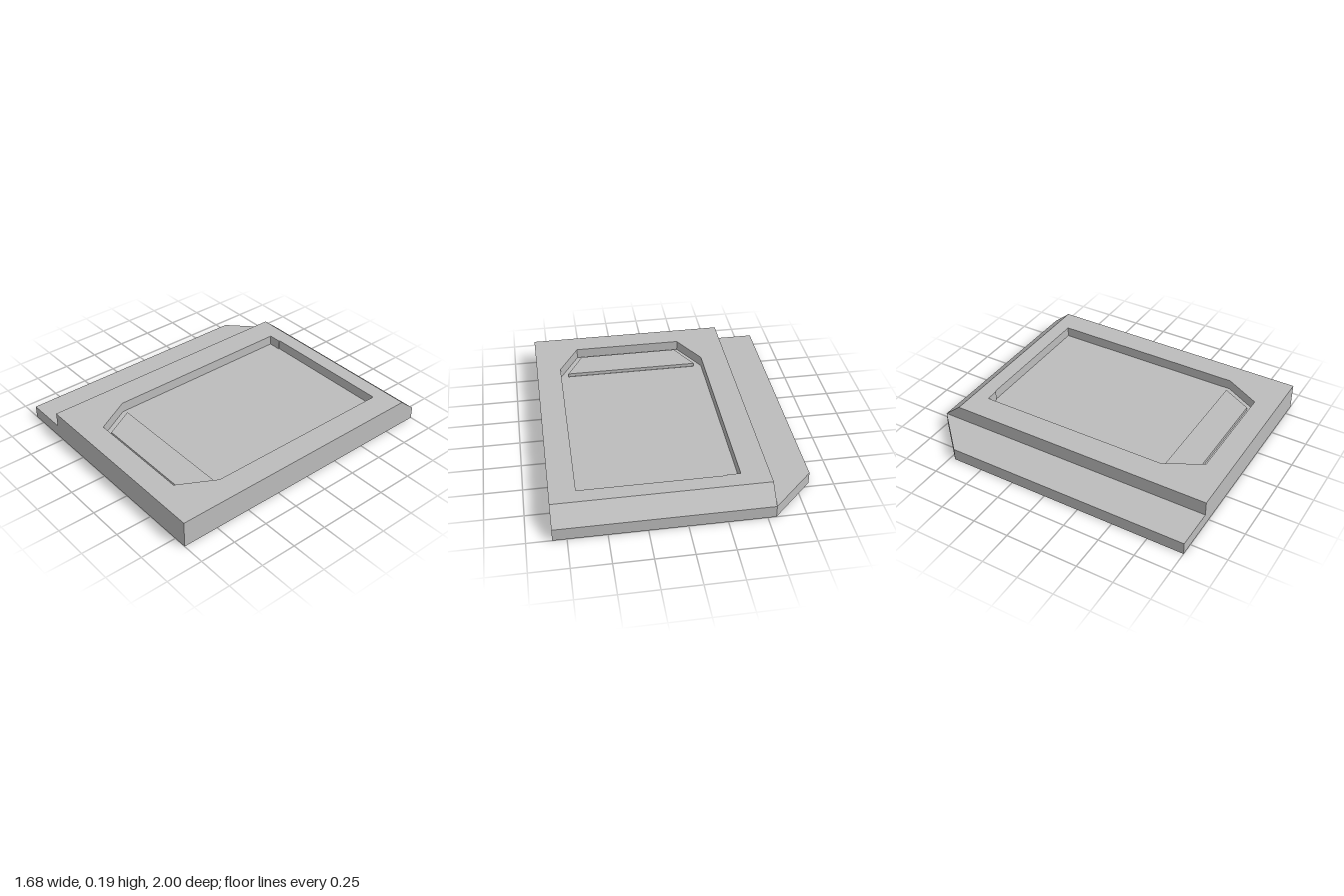
import * as THREE from 'three';

const TOP = 0.185, LIP = 0.085, FLOOR = 0.115, TAB = 0.14;

// Outlines as [x, z], counter-clockwise seen from above
const pocket = [[-0.37, 0.59], [-0.23, 0.84], [0.53, 0.84], [0.67, 0.59],
  [0.67, -0.775], [-0.28, -0.775], [-0.28, -0.768], [-0.37, -0.768]];
const tab = [[-0.315, 0.59], [-0.2, 0.8], [0.5, 0.8], [0.615, 0.59]];
const deck = [[-0.555, 1], [0.84, 1], [0.84, -0.88], [-0.555, -0.88]];
const lip = [[-0.84, 1], [-0.555, 1], [-0.555, -1], [-0.84, -0.715]];

const toPoints = (outline) => outline.map(([x, z]) => new THREE.Vector2(x, -z));

// Horizontal sheet at height y, optionally with a hole
function sheet(outline, y, hole) {
  const shape = new THREE.Shape(toPoints(outline));
  if (hole) shape.holes.push(new THREE.Path(toPoints(hole)));
  return new THREE.ShapeGeometry(shape).rotateX(-Math.PI / 2).translate(0, y, 0);
}

// Flat-faced strip between a lower and an upper row of [x, y, z] points
function strip(lower, upper) {
  const pos = [];
  for (let i = 0; i < lower.length - 1; i++) {
    pos.push(...lower[i], ...lower[i + 1], ...upper[i + 1]);
    pos.push(...lower[i], ...upper[i + 1], ...upper[i]);
  }
  const g = new THREE.BufferGeometry();
  g.setAttribute('position', new THREE.Float32BufferAttribute(pos, 3));
  g.computeVertexNormals();
  return g;
}

// Upright wall along a path; the top may be one height or one per point
function wall(path, bottom, top) {
  return strip(path.map(([x, z]) => [x, bottom, z]),
    path.map(([x, z], i) => [x, Array.isArray(top) ? top[i] : top, z]));
}

const closed = (outline) => [...outline, outline[0]];

export function createModel() {
  const group = new THREE.Group();
  group.name = 'recessedPanel';
  const grey = new THREE.MeshStandardMaterial({ color: 0xbcbcbc, side: THREE.DoubleSide });
  grey.name = 'grey';
  const add = (name, geometry) => {
    const mesh = new THREE.Mesh(geometry, grey);
    mesh.name = name;
    group.add(mesh);
  };

  // Raised deck with its sloped back edge; the shell is open underneath
  add('deck', sheet(deck, TOP, pocket));
  add('backSlope', strip([[0.84, LIP, -1], [-0.555, LIP, -1]], [[0.84, TOP, -0.88], [-0.555, TOP, -0.88]]));
  add('frontWall', wall([[-0.555, 1], [0.84, 1]], 0, TOP));
  add('leftWall', wall([[0.84, 1], [0.84, -0.88], [0.84, -1]], 0, [TOP, TOP, LIP]));
  add('backWall', wall([[0.84, -1], [-0.555, -1]], 0, LIP));
  add('stepWall', wall([[-0.555, -1], [-0.555, -0.88], [-0.555, 1]], LIP, [LIP, TOP, TOP]));

  // Low side lip with a cut corner
  add('lip', sheet(lip, LIP));
  add('lipWall', wall([[-0.555, -1], [-0.84, -0.715], [-0.84, 1], [-0.555, 1]], 0, LIP));

  // Sunken pocket and the raised tab inside it
  add('pocketWall', wall(closed(pocket).reverse(), FLOOR, TOP));
  add('pocketFloor', sheet(pocket, FLOOR, tab.map(([x, z]) => [x, z === 0.59 ? 0.589 : z])));
  add('tabWall', wall(closed(tab), FLOOR, TAB));
  add('tabTop', sheet(tab, TAB));
  return group;
}
